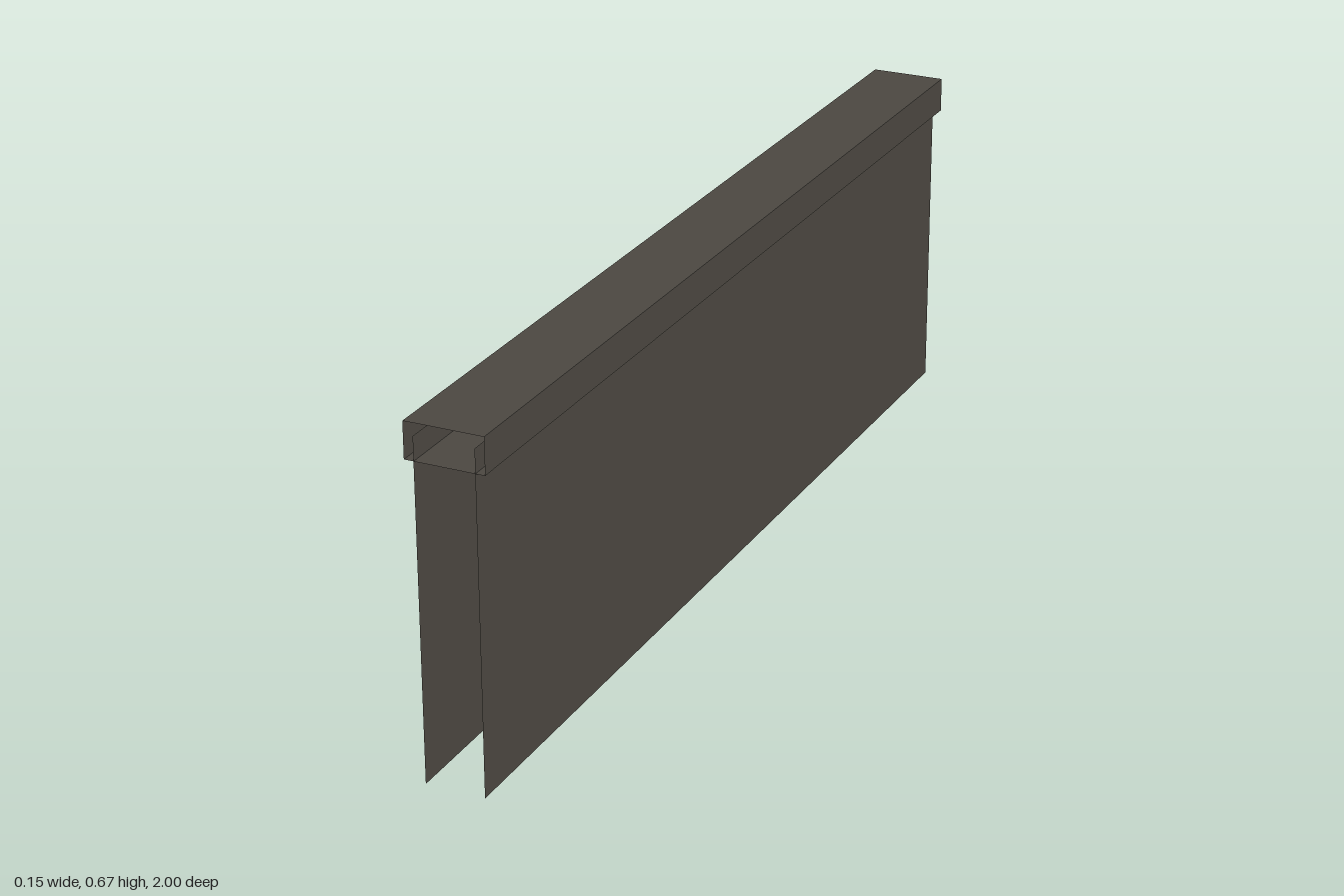
import * as THREE from 'three';

const LENGTH = 2;
const TOP = 0.671, CAP_BOTTOM = 0.602, PANEL_TOP = 0.647;
const CAP_HALF = 0.075, PANEL_HALF = 0.057;

export function createModel() {
  const group = new THREE.Group();
  group.name = 'cappedWall';

  const stone = new THREE.MeshStandardMaterial({ color: 0x4b4741, side: THREE.DoubleSide });
  stone.name = 'dark stone';

  function sheet(name, geometry, x, y) {
    const mesh = new THREE.Mesh(geometry, stone);
    mesh.name = name;
    mesh.position.set(x, y, 0);
    group.add(mesh);
  }
  // Upright sheet running along z, facing outward on its own side
  function upright(name, side, half, y0, y1) {
    const g = new THREE.PlaneGeometry(LENGTH, y1 - y0).rotateY(side * Math.PI / 2);
    sheet(name, g, side * half, (y0 + y1) / 2);
  }
  // Level sheet running along z, facing up (1) or down (-1)
  function level(name, facing, y) {
    const g = new THREE.PlaneGeometry(CAP_HALF * 2, LENGTH).rotateX(-facing * Math.PI / 2);
    sheet(name, g, 0, y);
  }

  // Open-ended hollow cap
  level('capTop', 1, TOP);
  level('capUnderside', -1, CAP_BOTTOM);

  // Cap sides and the two thin wall panels that reach up into the cap
  for (const [side, label] of [[1, 'left'], [-1, 'right']]) {
    upright(label + 'CapSide', side, CAP_HALF, CAP_BOTTOM, TOP);
    upright(label + 'WallPanel', side, PANEL_HALF, 0, PANEL_TOP);
  }
  return group;
}
